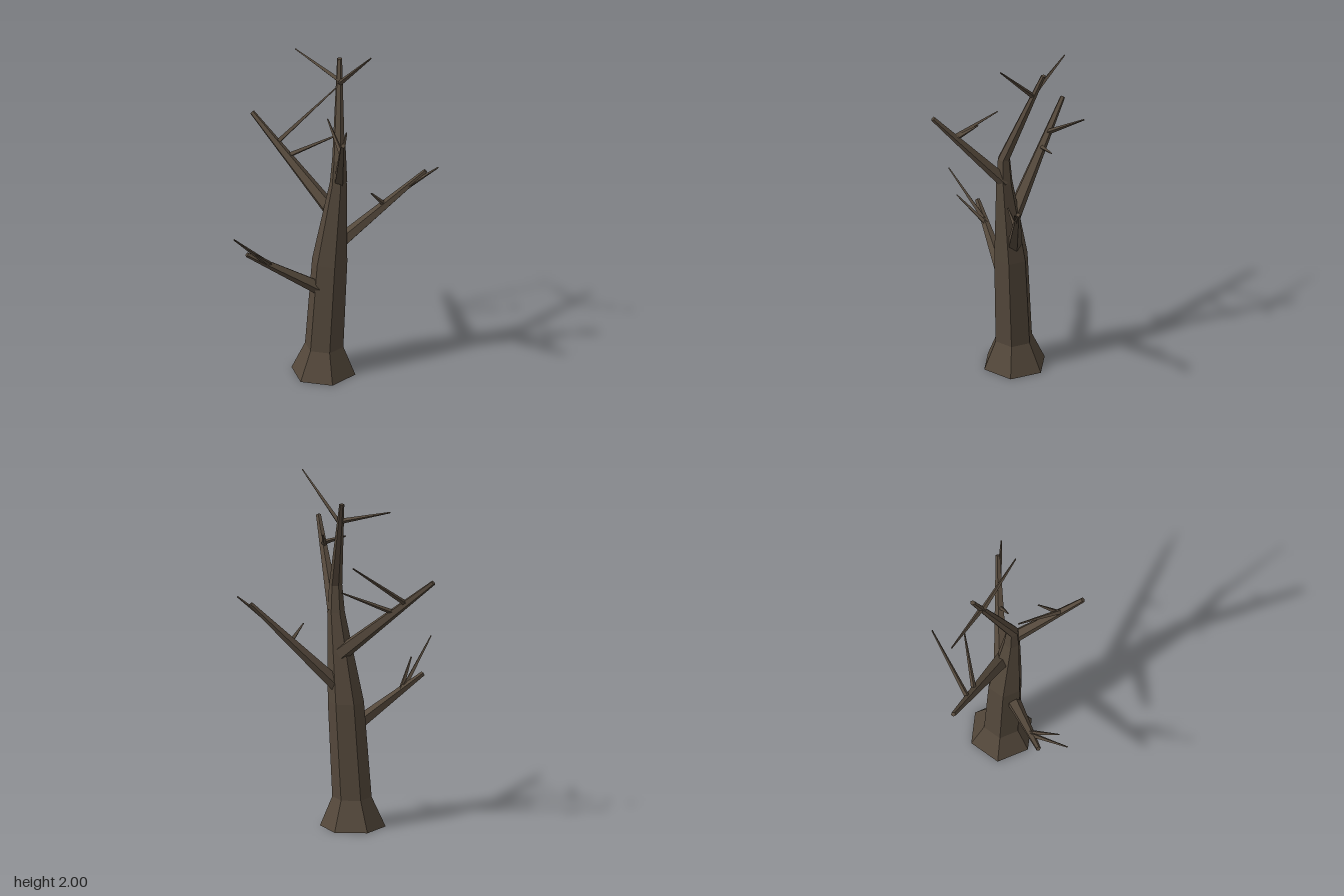
import * as THREE from 'three';

const UP = new THREE.Vector3(0, 1, 0);

// Lofts rings [x, y, z, radius] into a closed faceted limb; rings lie square to axis.
function limb(name, rings, sides, material, axis) {
  const centres = rings.map(([x, y, z]) => new THREE.Vector3(x, y, z));
  const w = axis || centres[centres.length - 1].clone().sub(centres[0]).normalize();
  const u = axis ? new THREE.Vector3(1, 0, 0) : new THREE.Vector3().crossVectors(UP, w).normalize();
  const v = new THREE.Vector3().crossVectors(w, u);
  const positions = [];
  const point = (i, j) => {
    const a = (j / sides) * Math.PI * 2;
    return centres[i].clone()
      .addScaledVector(u, Math.cos(a) * rings[i][3])
      .addScaledVector(v, Math.sin(a) * rings[i][3]);
  };
  const tri = (...corners) => corners.forEach((p) => positions.push(p.x, p.y, p.z));
  const last = rings.length - 1;
  for (let j = 0; j < sides; j++) {
    for (let i = 0; i < last; i++) {
      const a = point(i, j), b = point(i, j + 1), c = point(i + 1, j + 1), d = point(i + 1, j);
      tri(a, b, c);
      tri(a, c, d);
    }
    tri(centres[0], point(0, j + 1), point(0, j));
    tri(centres[last], point(last, j), point(last, j + 1));
  }
  const geometry = new THREE.BufferGeometry();
  geometry.setAttribute('position', new THREE.Float32BufferAttribute(positions, 3));
  geometry.computeVertexNormals();
  const mesh = new THREE.Mesh(geometry, material);
  mesh.name = name;
  return mesh;
}

export function createModel() {
  const bark = new THREE.MeshStandardMaterial({ color: 0x54483b, flatShading: true });
  bark.name = 'bark';
  const tree = new THREE.Group();
  tree.name = 'bareTree';

  // Flared trunk, bending back into the leader at the top
  tree.add(limb('trunk', [
    [-0.085, 0, -0.025, 0.18],
    [-0.08, 0.165, -0.022, 0.108],
    [-0.046, 0.7, -0.01, 0.099],
    [0.01, 1.2, 0.02, 0.048],
    [0.012, 1.35, 0.022, 0.036],
    [-0.035, 1.86, -0.19, 0.014],
  ], 6, bark, UP));

  // Each branch: root and tip as [x, y, z, radius], then twigs as [start, end]
  const branches = {
    lowerRightBranch: {
      path: [[-0.08, 0.54, 0.03, 0.042], [-0.455, 0.803, 0.222, 0.014]],
      twigs: [
        [[-0.35, 0.73, 0.165], [-0.488, 0.975, 0.385]],
        [[-0.335, 0.72, 0.155], [-0.383, 0.868, 0.328]],
      ],
    },
    leftBranch: {
      path: [[0.0, 0.8, -0.035, 0.042], [0.47, 1.268, -0.11, 0.013]],
      twigs: [
        [[0.35, 1.15, -0.092], [0.543, 1.305, -0.1]],
        [[0.25, 1.05, -0.072], [0.185, 1.14, -0.02]],
      ],
    },
    upperRightBranch: {
      path: [[-0.02, 0.975, -0.025, 0.045], [-0.54, 1.437, -0.237, 0.014]],
      twigs: [
        [[-0.385, 1.3, -0.175], [-0.11, 1.553, -0.405]],
        [[-0.32, 1.24, -0.148], [-0.038, 1.37, -0.235]],
      ],
    },
    frontBranch: {
      path: [[0.02, 1.21, 0.015, 0.038], [0.13, 1.645, 0.398, 0.014]],
      twigs: [
        [[0.095, 1.52, 0.28], [-0.04, 1.615, 0.062]],
        [[0.09, 1.51, 0.27], [0.09, 1.595, 0.155]],
      ],
    },
    leader: {
      twigs: [
        [[-0.022, 1.735, -0.135], [0.195, 2.0, 0.02]],
        [[-0.022, 1.75, -0.14], [-0.305, 1.84, -0.275]],
      ],
    },
  };

  for (const [name, { path, twigs }] of Object.entries(branches)) {
    const group = new THREE.Group();
    group.name = name;
    if (path) group.add(limb(name + 'Limb', path, 5, bark));
    twigs.forEach(([from, to], i) => {
      group.add(limb(`${name}Twig${i + 1}`, [[...from, 0.015], [...to, 0.004]], 4, bark));
    });
    tree.add(group);
  }
  return tree;
}
